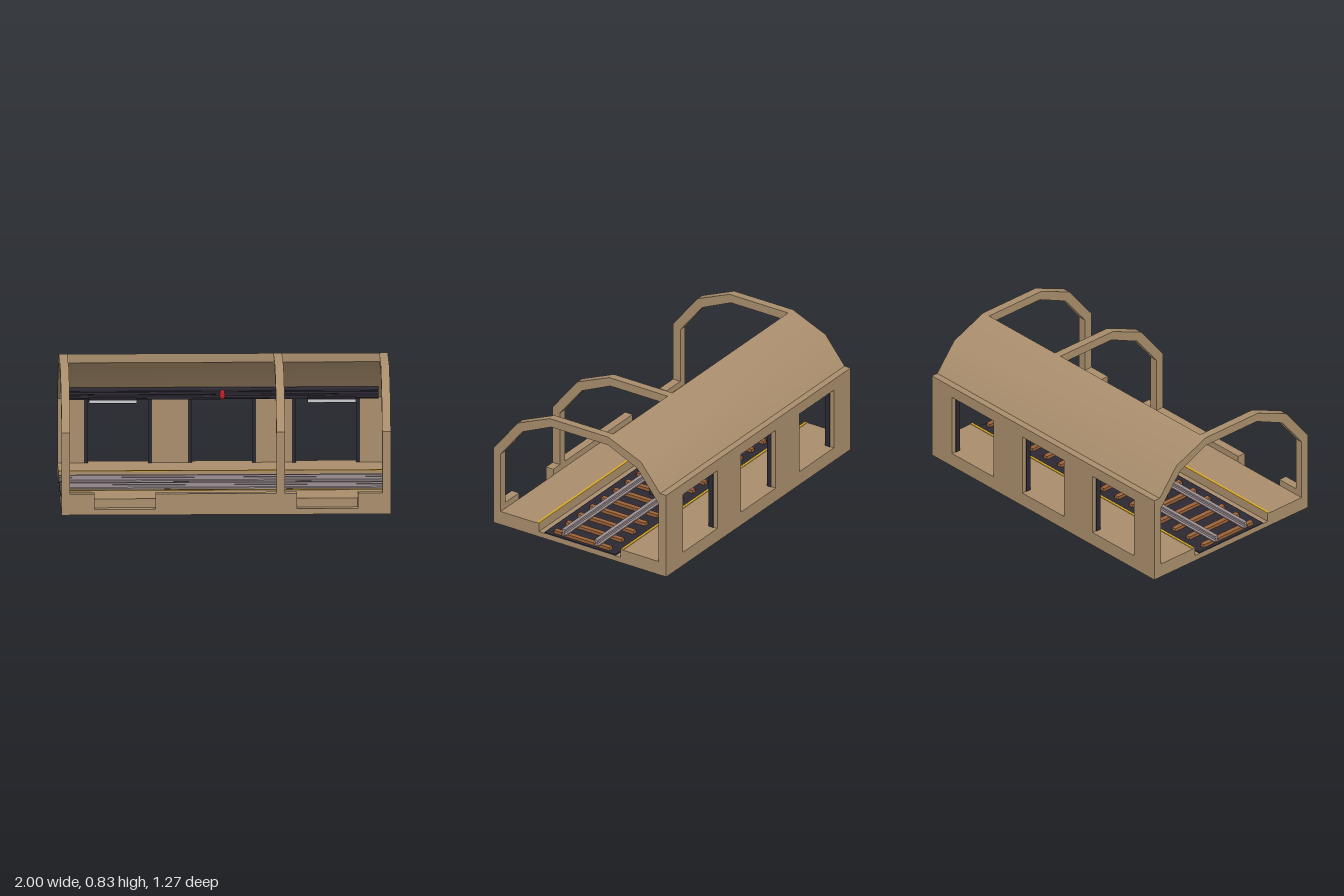
import * as THREE from 'three';
import { toCreasedNormals } from 'three/addons/utils/BufferGeometryUtils.js';

const mat = (color) => new THREE.MeshStandardMaterial({ color });

export function createModel() {
  const root = new THREE.Group();
  const stone = mat(0xa88d6c), dark = mat(0x2b2832), wood = mat(0x9c6238);
  const steel = mat(0x9c8f92), yellow = mat(0xd4a52a), red = mat(0xc0202c), pale = mat(0xd8d8dc);

  const add = (name, geometry, material) => {
    const mesh = new THREE.Mesh(geometry, material);
    mesh.name = name;
    root.add(mesh);
    return mesh;
  };
  // box given by its limits on each axis
  const box = (name, material, x0, x1, y0, y1, z0, z1) => {
    const g = new THREE.BoxGeometry(x1 - x0, y1 - y0, z1 - z0);
    g.translate((x0 + x1) / 2, (y0 + y1) / 2, (z0 + z1) / 2);
    return add(name, g, material);
  };
  // cross-section of [z, y] points swept along x
  const sweep = (name, material, points, x0, x1) => {
    const shape = new THREE.Shape(points.map(([z, y]) => new THREE.Vector2(-z, y)));
    const g = new THREE.ExtrudeGeometry(shape, { depth: x1 - x0, bevelEnabled: false });
    g.rotateY(Math.PI / 2).translate(x0, 0, 0);
    return add(name, toCreasedNormals(g, 0.6), material);
  };

  // floor slab and the two platforms with yellow edge lines
  box('floor', stone, -1, 1, 0, 0.035, -0.634, 0.634);
  for (const s of [-1, 1]) {
    const span = (a, b) => (s > 0 ? [a, b] : [-b, -a]);
    box('platform', stone, -1, 1, 0.035, 0.09, ...span(0.3, 0.58));
    box('platformEdgeLine', yellow, -1, 1, 0.09, 0.094, ...span(0.3, 0.317));
  }

  // low front curb with two doorway gaps
  for (const [a, b] of [[-1, -0.8], [-0.43, 0.43], [0.8, 1]])
    box('frontCurb', stone, a, b, 0.035, 0.13, 0.58, 0.634);

  // back wall with three openings
  const wall = new THREE.Shape();
  wall.moveTo(-1, 0.035).lineTo(1, 0.035).lineTo(1, 0.49).lineTo(-1, 0.49);
  const openings = [-0.632, 0, 0.632];
  for (const c of openings) {
    const hole = new THREE.Path();
    hole.moveTo(c - 0.187, 0.09).lineTo(c - 0.187, 0.487).lineTo(c + 0.187, 0.487).lineTo(c + 0.187, 0.09);
    wall.holes.push(hole);
  }
  const wallGeometry = new THREE.ExtrudeGeometry(wall, { depth: 0.057, bevelEnabled: false });
  add('backWall', wallGeometry.translate(0, 0, -0.634), stone);

  // dark jambs at each opening
  for (const c of openings)
    for (const s of [-1, 1])
      box('openingJamb', dark, c + s * 0.194 - 0.012, c + s * 0.194 + 0.012, 0.09, 0.487, -0.605, -0.572);

  // half roof over the back
  sweep('roof', stone, [
    [-0.21, 0.835], [-0.45, 0.735], [-0.59, 0.56], [-0.634, 0.56],
    [-0.634, 0.49], [-0.575, 0.49], [-0.42, 0.685], [-0.21, 0.78],
  ], -1, 1);

  // open ribs over the front
  for (const [a, b] of [[-1, -0.948], [0.305, 0.357], [0.948, 1]])
    sweep('archRib', stone, [
      [0.634, 0.035], [0.634, 0.51], [0.455, 0.735], [0.22, 0.835], [-0.21, 0.835],
      [-0.21, 0.78], [0.21, 0.78], [0.42, 0.685], [0.58, 0.485], [0.58, 0.035],
    ], a, b);

  // track: bed, ties and I-section rails
  box('trackBed', dark, -1, 1, 0.035, 0.043, -0.26, 0.26);
  for (let i = 0; i < 16; i++) {
    const x = -0.962 + i * 0.1283;
    box('tie', wood, x - 0.016, x + 0.016, 0.043, 0.063, -0.205, 0.205);
  }
  const half = [[0.018, 0.063], [0.018, 0.07], [0.006, 0.074], [0.006, 0.088], [0.012, 0.091], [0.012, 0.103]];
  const section = [...half, ...half.map(([z, y]) => [-z, y]).reverse()];
  for (const c of [-0.12, 0.12])
    sweep('rail', steel, section.map(([z, y]) => [z + c, y]), -1, 1);

  // cable tray with pipes under the roof
  box('cableTray', dark, -0.95, 0.95, 0.5, 0.55, -0.519, -0.477);
  for (const [y, z, r] of [[0.556, -0.5, 0.015], [0.538, -0.481, 0.008], [0.515, -0.481, 0.008]]) {
    const g = new THREE.CylinderGeometry(r, r, 1.9, 12);
    add('pipe', g.rotateZ(Math.PI / 2).translate(0, y, z), dark);
  }

  // light fixtures above the outer openings
  for (const s of [-1, 1]) {
    const c = s * 0.665;
    box('lightHousing', dark, c - 0.147, c + 0.147, 0.488, 0.515, -0.465, -0.422);
    box('lightPanel', pale, c - 0.145, c + 0.145, 0.49, 0.506, -0.422, -0.419);
  }

  // red signal lamp
  add('signalLamp', new THREE.CapsuleGeometry(0.017, 0.024, 4, 12).translate(0, 0.528, -0.482), red);

  return root;
}
